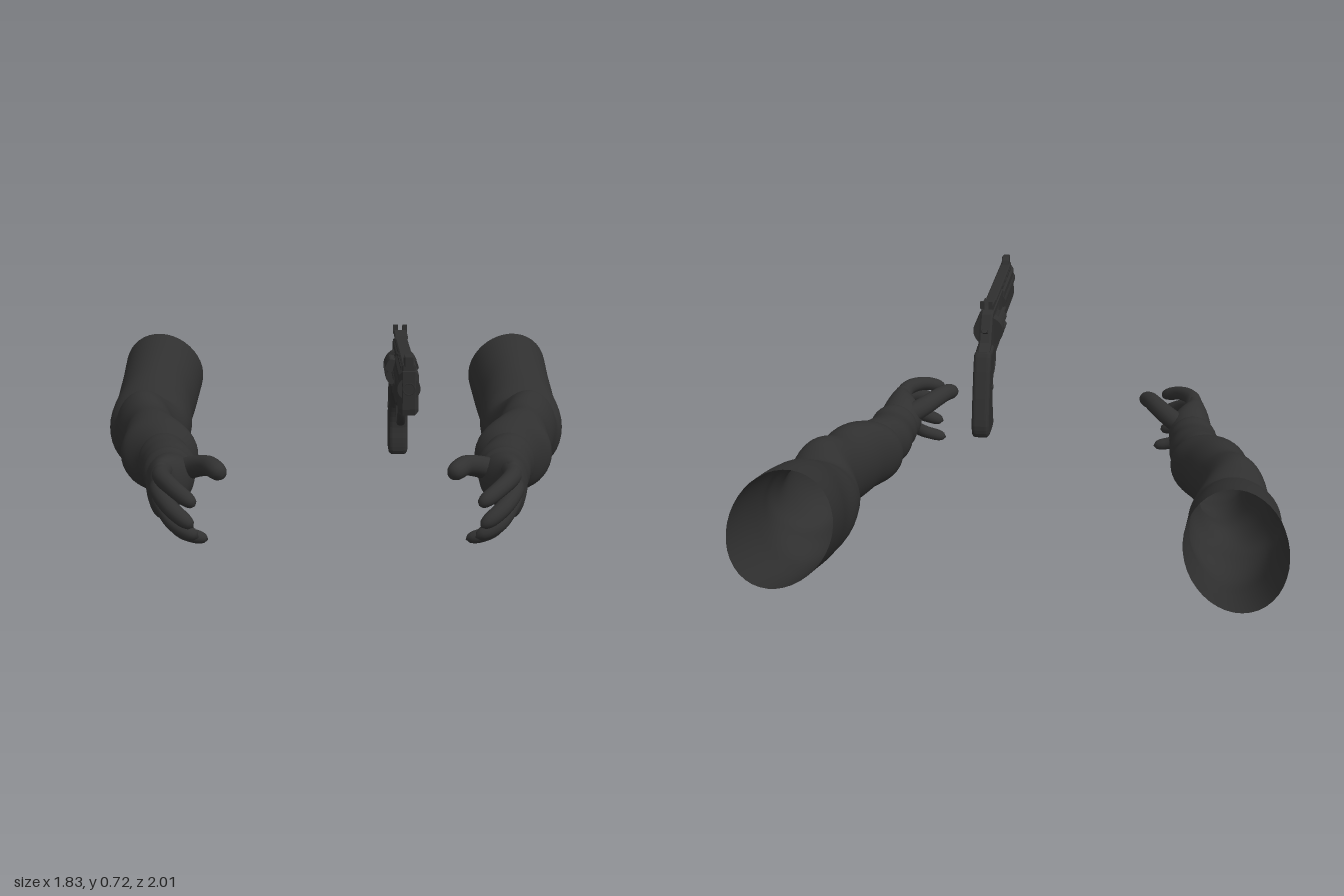
import * as THREE from 'three';
import { mergeVertices } from 'three/addons/utils/BufferGeometryUtils.js';

const material = (name, color, side = THREE.FrontSide) => {
  const m = new THREE.MeshStandardMaterial({ color, side });
  m.name = name;
  return m;
};

function add(parent, name, geometry, mat, x = 0, y = 0, z = 0) {
  const mesh = new THREE.Mesh(geometry, mat);
  mesh.name = name;
  mesh.position.set(x, y, z);
  parent.add(mesh);
  return mesh;
}

// Smooth skin through oval sections [z, inner x, outer x, low y, high y, shear]
function loft(sections, rows, fold = () => 1, n = 40) {
  const zs = sections.map(s => s[0]);
  const curve = new THREE.CubicInterpolant(zs, sections.flatMap(s => s.slice(1)), 5, new Array(5));
  const pos = [], idx = [];
  for (let i = 0; i <= rows; i++) {
    const z = zs[0] + (zs[zs.length - 1] - zs[0]) * i / rows;
    const [x0, x1, y0, y1, shear] = curve.evaluate(z);
    for (let j = 0; j < n; j++) {
      const a = j / n * Math.PI * 2, c = Math.cos(a), s = Math.sin(a), f = fold(z, a);
      pos.push((x0 + x1) / 2 + (x1 - x0) / 2 * c * f, (y0 + y1) / 2 + (y1 - y0) / 2 * s * f,
        z + shear * (s - 0.45 * c));
      if (i < rows) {
        const p = i * n + j, q = i * n + (j + 1) % n;
        idx.push(p, q, p + n, q, q + n, p + n);
      }
    }
  }
  const g = new THREE.BufferGeometry();
  g.setAttribute('position', new THREE.Float32BufferAttribute(pos, 3));
  g.setIndex(idx);
  g.computeVertexNormals();
  return g;
}

// Tapered tube with a rounded tip
function finger(points, radius) {
  const curve = new THREE.CatmullRomCurve3(points.map(p => new THREE.Vector3(...p)));
  const steps = 24, sides = 14;
  let g = new THREE.TubeGeometry(curve, steps, radius, sides);
  const pos = g.attributes.position, v = new THREE.Vector3();
  for (let i = 0; i <= steps; i++) {
    const t = i / steps, c = curve.getPointAt(t);
    const cap = t > 0.84 ? Math.sqrt(Math.max(0, 1 - ((t - 0.84) / 0.16) ** 2)) : 1;
    for (let j = 0; j <= sides; j++) {
      const k = i * (sides + 1) + j;
      v.fromBufferAttribute(pos, k).sub(c).multiplyScalar((1 - 0.25 * t) * cap).add(c);
      pos.setXYZ(k, v.x, v.y, v.z);
    }
  }
  g.deleteAttribute('uv');
  g.deleteAttribute('normal');
  g = mergeVertices(g, 1e-5);
  g.computeVertexNormals();
  return g;
}

// Side profile in (z, y), given width across x
function plate(points, width, bevel = 0.004, smooth = false) {
  const p = points.map(q => new THREE.Vector2(...q));
  const shape = smooth
    ? new THREE.Shape(new THREE.CatmullRomCurve3(p.map(q => new THREE.Vector3(q.x, q.y, 0)), true)
      .getPoints(48).slice(0, -1).map(q => new THREE.Vector2(q.x, q.y)))
    : new THREE.Shape(p);
  const g = new THREE.ExtrudeGeometry(shape, {
    depth: width - 2 * bevel, bevelThickness: bevel, bevelSize: bevel, bevelOffset: -bevel,
    bevelSegments: smooth ? 4 : 1, bevelEnabled: true,
  });
  g.translate(0, 0, -(width - 2 * bevel) / 2);
  g.rotateY(-Math.PI / 2);
  return g;
}

const rod = (r, length, sides = 24) => new THREE.CylinderGeometry(r, r, length, sides).rotateX(Math.PI / 2);

function createArm(cloth, glove) {
  const arm = new THREE.Group();
  // Sleeve with diagonal folds, strongest around the elbow
  const folds = (z, a) => {
    const w = Math.exp(-(((z + 0.2) / 0.3) ** 2));
    return 1 + w * (0.03 * Math.sin(30 * z + 2.2 * Math.sin(a + 0.6)) + 0.018 * Math.sin(17 * z - 2 * a))
      + 0.008 * Math.sin(9 * z + 3 * a);
  };
  add(arm, 'sleeve', loft([
    [-0.915, 0.575, 0.915, 0.155, 0.507, 0.085],
    [-0.70, 0.585, 0.905, 0.075, 0.465, 0.04],
    [-0.56, 0.595, 0.905, 0.03, 0.42, 0.02],
    [-0.43, 0.585, 0.915, 0.03, 0.36, 0],
    [-0.36, 0.60, 0.90, 0.03, 0.33, 0],
    [-0.28, 0.628, 0.875, 0.035, 0.37, 0],
    [-0.15, 0.615, 0.83, 0.05, 0.345, 0],
    [-0.02, 0.565, 0.81, 0.045, 0.335, 0],
    [0.06, 0.52, 0.80, 0.045, 0.318, 0],
    [0.10, 0.53, 0.75, 0.055, 0.295, 0],
    [0.13, 0.55, 0.725, 0.07, 0.275, 0],
  ], 90, folds), cloth);
  // Wrist band
  add(arm, 'cuff', loft([
    [0.10, 0.545, 0.735, 0.07, 0.28, 0],
    [0.16, 0.53, 0.732, 0.065, 0.285, 0],
    [0.20, 0.513, 0.717, 0.068, 0.278, 0],
    [0.28, 0.515, 0.70, 0.08, 0.268, 0],
    [0.335, 0.512, 0.688, 0.083, 0.272, 0],
    [0.35, 0.53, 0.67, 0.10, 0.255, 0],
  ], 40, (z, a) => 1 + 0.008 * Math.sin(60 * z + Math.sin(a))), cloth);
  // Palm and back of the hand
  add(arm, 'palm', loft([
    [0.30, 0.53, 0.67, 0.10, 0.255, 0],
    [0.38, 0.505, 0.675, 0.09, 0.268, 0],
    [0.45, 0.515, 0.67, 0.085, 0.278, 0],
    [0.52, 0.553, 0.658, 0.075, 0.275, 0],
    [0.57, 0.565, 0.64, 0.09, 0.26, 0],
    [0.60, 0.598, 0.604, 0.16, 0.19, 0],
  ], 36), glove);
  const digits = {
    thumb: [[[0.57, 0.20, 0.38], [0.50, 0.23, 0.43], [0.445, 0.25, 0.50], [0.42, 0.25, 0.55], [0.388, 0.238, 0.598]], 0.042],
    indexFinger: [[[0.60, 0.235, 0.50], [0.595, 0.238, 0.61], [0.545, 0.222, 0.71], [0.468, 0.182, 0.782]], 0.034],
    middleFinger: [[[0.615, 0.19, 0.50], [0.60, 0.19, 0.64], [0.55, 0.155, 0.73], [0.475, 0.108, 0.782]], 0.034],
    ringFinger: [[[0.615, 0.145, 0.50], [0.595, 0.138, 0.61], [0.545, 0.09, 0.68], [0.465, 0.052, 0.71]], 0.033],
    littleFinger: [[[0.60, 0.115, 0.47], [0.585, 0.098, 0.55], [0.53, 0.045, 0.605], [0.44, 0.018, 0.615]], 0.03],
  };
  for (const [name, [points, radius]] of Object.entries(digits)) add(arm, name, finger(points, radius), glove);
  return arm;
}

function createRevolver(steel, gripMat) {
  const gun = new THREE.Group();
  gun.name = 'revolver';
  gun.position.x = 0.222;
  // Barrel, full-length underlug and top rib
  add(gun, 'barrelShroud', plate([[0.655, 0.53], [0.995, 0.53], [1, 0.55], [1, 0.67], [0.655, 0.67]], 0.062, 0.012), steel);
  add(gun, 'barrel', rod(0.036, 0.34), steel, 0, 0.615, 0.828);
  add(gun, 'muzzleRing', new THREE.TorusGeometry(0.018, 0.005, 8, 24), steel, 0, 0.615, 0.996);
  add(gun, 'topRib', plate([[0.37, 0.65], [0.985, 0.65], [0.985, 0.688], [0.37, 0.688]], 0.042), steel);
  for (let i = 0; i < 4; i++) add(gun, 'ribVent', new THREE.BoxGeometry(0.047, 0.012, 0.05), steel, 0, 0.672, 0.7 + i * 0.075);
  add(gun, 'frontSight', plate([[0.935, 0.685], [1, 0.685], [1, 0.715], [0.965, 0.718], [0.945, 0.705]], 0.03, 0.003), steel);
  add(gun, 'rearSight', plate([[0.335, 0.688], [0.46, 0.685], [0.45, 0.698], [0.35, 0.702]], 0.045, 0.003), steel);
  for (const s of [-1, 1]) add(gun, 'rearSightPost', new THREE.BoxGeometry(0.016, 0.03, 0.01), steel, s * 0.016, 0.705, 0.342);
  // Frame: top strap, front post, bottom strap and rear body
  add(gun, 'topStrap', plate([[0.36, 0.645], [0.66, 0.645], [0.66, 0.672], [0.36, 0.672]], 0.05), steel);
  add(gun, 'frameFront', plate([[0.535, 0.50], [0.575, 0.53], [0.66, 0.53], [0.66, 0.65], [0.535, 0.65]], 0.046), steel);
  add(gun, 'bottomStrap', plate([[0.33, 0.475], [0.56, 0.475], [0.58, 0.49], [0.58, 0.53], [0.33, 0.53]], 0.046), steel);
  add(gun, 'rearFrame', plate([[0.37, 0.68], [0.37, 0.475], [0.29, 0.46], [0.20, 0.50], [0.215, 0.555],
    [0.27, 0.575], [0.30, 0.62], [0.335, 0.67]], 0.05, 0.008), steel);
  // Fluted cylinder and ejector rod
  const outline = [];
  for (let i = 0; i < 72; i++) {
    const a = i / 72 * Math.PI * 2, r = 0.059 - 0.012 * Math.max(0, Math.cos(6 * a)) ** 2;
    outline.push(new THREE.Vector2(Math.cos(a) * r, Math.sin(a) * r));
  }
  add(gun, 'flutedCylinder', new THREE.ExtrudeGeometry(new THREE.Shape(outline), { depth: 0.1, bevelEnabled: false }), steel, 0, 0.585, 0.425);
  add(gun, 'cylinderRear', rod(0.059, 0.048, 36), steel, 0, 0.585, 0.402);
  for (const s of [-1, 1]) {
    add(gun, 'ejectorRod', rod(0.012, 0.14, 16), steel, s * 0.024, 0.583, 0.605);
    add(gun, 'frameScrew', new THREE.CylinderGeometry(0.009, 0.009, 0.008, 16).rotateZ(Math.PI / 2), steel, s * 0.026, 0.515, 0.3);
    add(gun, 'gripScrew', new THREE.CylinderGeometry(0.011, 0.011, 0.008, 16).rotateZ(Math.PI / 2), steel, s * 0.034, 0.41, 0.225);
  }
  // Trigger and its guard
  const guard = new THREE.CatmullRomCurve3([[0.515, 0.485], [0.505, 0.435], [0.465, 0.395], [0.41, 0.39], [0.372, 0.42], [0.35, 0.48]]
    .map(([z, y]) => new THREE.Vector3(0, y, z)));
  add(gun, 'triggerGuard', new THREE.TubeGeometry(guard, 32, 0.009, 10).scale(1.6, 1, 1), steel);
  add(gun, 'trigger', plate([[0.43, 0.48], [0.40, 0.48], [0.405, 0.44], [0.432, 0.408], [0.44, 0.412], [0.422, 0.445]], 0.018, 0.003), steel);
  // Hammer
  add(gun, 'hammer', plate([[0.33, 0.56], [0.27, 0.56], [0.29, 0.605], [0.255, 0.622], [0.262, 0.63],
    [0.305, 0.622], [0.335, 0.65]], 0.022, 0.003), steel);
  // Grip
  add(gun, 'grip', plate([[0.34, 0.50], [0.315, 0.555], [0.25, 0.55], [0.215, 0.555], [0.185, 0.51], [0.16, 0.45], [0.128, 0.36],
    [0.108, 0.28], [0.12, 0.24], [0.19, 0.23], [0.262, 0.238], [0.265, 0.28], [0.252, 0.34], [0.262, 0.40], [0.295, 0.45]], 0.068, 0.016, true), gripMat);
  return gun;
}

export function createModel() {
  const cloth = material('sleeve charcoal', 0x303030, THREE.DoubleSide);
  const glove = material('glove charcoal', 0x313131);
  const steel = material('dark steel', 0x2f2f2f);
  const gripMat = material('grip black', 0x2e2e2e);
  const model = new THREE.Group();
  model.name = 'armsAndRevolver';
  for (const side of [1, -1]) {
    const arm = createArm(cloth, glove);
    arm.name = side > 0 ? 'leftArm' : 'rightArm';
    arm.scale.x = side;
    model.add(arm);
  }
  model.add(createRevolver(steel, gripMat));
  return model;
}
